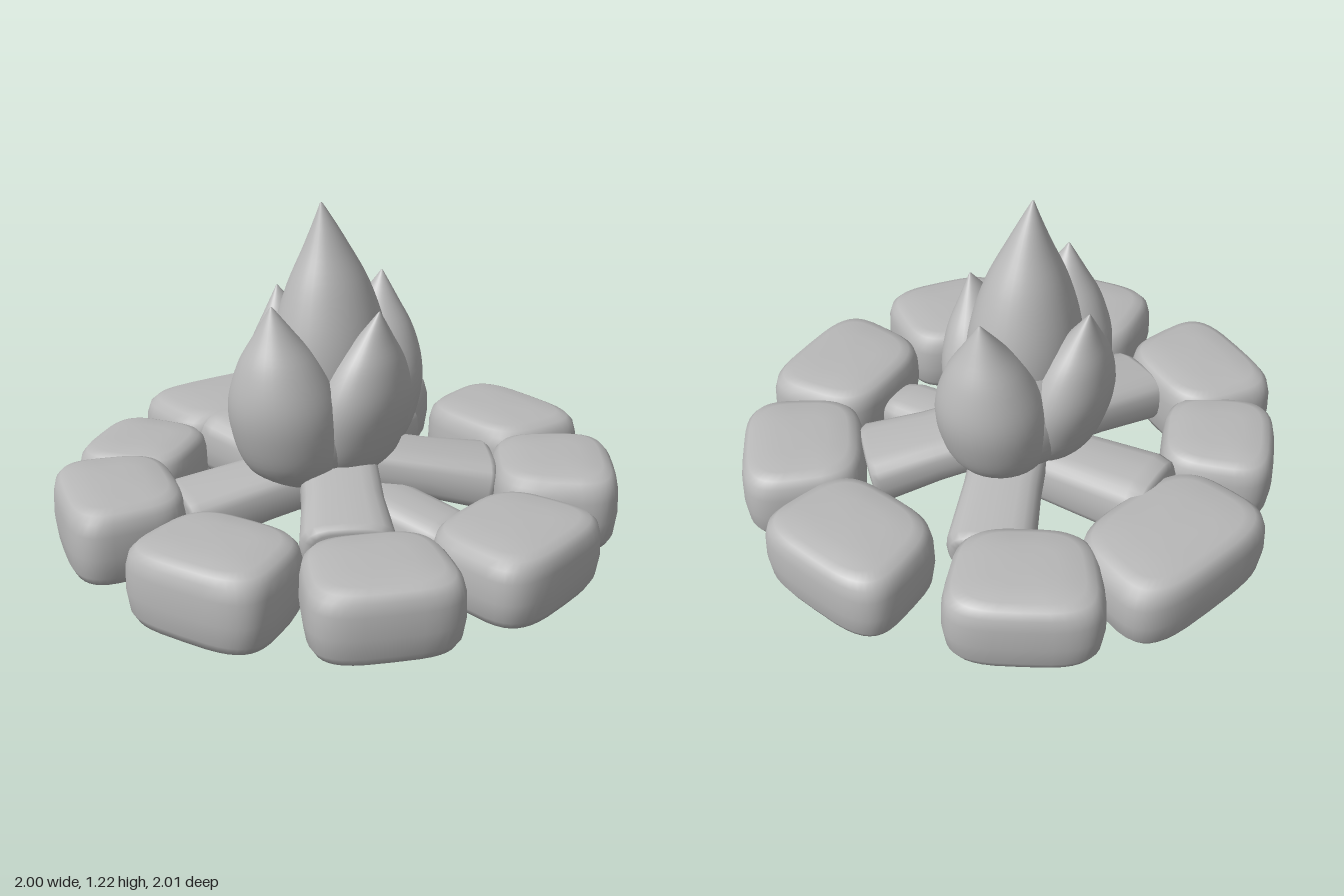
import * as THREE from 'three';

const grey = new THREE.MeshStandardMaterial({ color: 0xb8b8b8 });
grey.name = 'plain grey';

// Closed smooth skin through rings of points, ordered from bottom to top
function loft(rings) {
  const n = rings[0].length, last = rings.length - 1, points = rings.flat(), idx = [];
  for (let j = 0; j < last; j++) {
    for (let i = 0; i < n; i++) {
      const a = j * n + i, b = j * n + (i + 1) % n;
      idx.push(a, a + n, b, b, a + n, b + n);
    }
  }
  for (const j of [0, last]) {
    const centre = new THREE.Vector3();
    rings[j].forEach(p => centre.add(p));
    const k = points.push(centre.divideScalar(n)) - 1;
    for (let i = 0; i < n; i++) {
      const a = j * n + i, b = j * n + (i + 1) % n;
      idx.push(k, ...(j ? [b, a] : [a, b]));
    }
  }
  const g = new THREE.BufferGeometry().setFromPoints(points);
  g.setIndex(idx);
  g.computeVertexNormals();
  return g;
}

// Ring of n points, where rule(cos, sin) places each one
function makeRing(n, rule) {
  return Array.from({ length: n }, (_, i) => {
    const a = i / n * Math.PI * 2;
    return rule(Math.cos(a), Math.sin(a));
  });
}

// Pushes a circle out towards a rounded square
const soft = (v, power) => Math.sign(v) * Math.pow(Math.abs(v), power);

function add(group, name, geometry) {
  const m = new THREE.Mesh(geometry, grey);
  m.name = name;
  group.add(m);
  return m;
}

// Stone: rounded wedge, wider outside than inside, with soft top and bottom edges
const stoneProfile = [[0, 0.45], [0.01, 0.78], [0.05, 0.89], [0.16, 0.96], [0.42, 1],
  [0.7, 0.99], [0.85, 0.95], [0.93, 0.87], [0.975, 0.74], [1, 0.42]];

function stoneMesh(group, name, x, z, turn, outer, inner, depth, height) {
  const m = add(group, name, loft(stoneProfile.map(([t, s]) => makeRing(40, (c, d) => {
    const v = soft(d, 0.57);
    const half = THREE.MathUtils.lerp(inner, outer, (v + 1) / 2) / 2;
    return new THREE.Vector3(soft(c, 0.57) * half * s, t * (height - 0.01), v * depth / 2 * s);
  }))));
  m.position.set(x, 0.01, z);
  m.rotation.y = THREE.MathUtils.degToRad(turn);
}

// Flame tongue: one teardrop profile, leaning from base [x, y, z] to tip
const flameProfile = new THREE.SplineCurve([[0, 0.5], [0.13, 0.87], [0.32, 1], [0.5, 0.96],
  [0.69, 0.71], [0.85, 0.36], [1, 0.02]].map(p => new THREE.Vector2(...p))).getPoints(28);

function flameMesh(group, name, base, tip, halfX, halfZ, bend) {
  const a = new THREE.Vector3(...base), b = new THREE.Vector3(...tip);
  add(group, name, loft(flameProfile.map(p => {
    const mid = a.clone().lerp(b, Math.pow(p.x, bend));
    return makeRing(32, (c, d) => new THREE.Vector3(
      mid.x + c * halfX * p.y, THREE.MathUtils.lerp(a.y, b.y, p.x), mid.z + d * halfZ * p.y));
  })));
}

// Log: rounded square bar with soft ends, from one point to another
function logMesh(group, name, from, to, width, height, taper) {
  const a = new THREE.Vector3(...from), b = new THREE.Vector3(...to), length = a.distanceTo(b);
  const stations = [[0, 0.75], [0.015, 0.9], [0.06, 1], [0.5, 0.95], [0.94, 1], [0.985, 0.9], [1, 0.75]];
  const m = add(group, name, loft(stations.map(([t, s]) => {
    const k = s * (1 + (taper - 1) * t) / 2;
    return makeRing(20, (c, d) => new THREE.Vector3(
      soft(c, 0.65) * width * k, t * length, soft(d, 0.65) * height * k));
  })));
  // Lay the bar along its direction with its width kept level
  const dir = b.clone().sub(a).normalize();
  const side = new THREE.Vector3(0, 1, 0).cross(dir).normalize();
  m.quaternion.setFromRotationMatrix(new THREE.Matrix4().makeBasis(side, dir, side.clone().cross(dir)));
  m.position.copy(a);
}

function addGroup(parent, name) {
  const g = new THREE.Group();
  g.name = name;
  parent.add(g);
  return g;
}

export function createModel() {
  const model = new THREE.Group();
  model.name = 'campfire';

  // Ring of stones: x, z, turn, outer width, inner width, depth, height
  const stones = addGroup(model, 'stoneRing');
  stoneMesh(stones, 'frontStone', 0.005, 0.77, 0, 0.6, 0.5, 0.45, 0.275);
  stoneMesh(stones, 'frontLeftStone', 0.5, 0.605, 38, 0.54, 0.47, 0.45, 0.3);
  stoneMesh(stones, 'leftStone', 0.765, 0.18, 82, 0.61, 0.5, 0.44, 0.3);
  stoneMesh(stones, 'rearLeftStone', 0.63, -0.425, 119, 0.58, 0.48, 0.43, 0.3);
  stoneMesh(stones, 'backStone', 0.2, -0.745, 163, 0.7, 0.6, 0.45, 0.295);
  stoneMesh(stones, 'backRightStone', -0.345, -0.67, -158, 0.47, 0.42, 0.42, 0.285);
  stoneMesh(stones, 'rearRightStone', -0.68, -0.425, -119, 0.58, 0.48, 0.43, 0.3);
  stoneMesh(stones, 'rightStone', -0.77, 0.155, -80, 0.57, 0.49, 0.44, 0.3);
  stoneMesh(stones, 'frontRightStone', -0.5, 0.6, -38, 0.54, 0.47, 0.45, 0.28);

  // Crossed logs: one long bar below, four leaning pieces above
  const logs = addGroup(model, 'logs');
  logMesh(logs, 'longLog', [0, 0.095, 0.55], [0.02, 0.19, -0.62], 0.23, 0.19, 1.35);

  // Flames: a broad body and tall centre ringed by four shorter tongues
  const fire = addGroup(model, 'flames');
  flameMesh(fire, 'flameBody', [0, 0.23, -0.055], [0, 0.85, -0.055], 0.34, 0.25, 1);
  flameMesh(fire, 'centreFlame', [0.005, 0.24, -0.045], [-0.033, 1.22, -0.05], 0.23, 0.2, 5);

  for (const s of [-1, 1]) {
    const side = s > 0 ? 'Left' : 'Right';
    logMesh(logs, 'front' + side + 'Log', [s * 0.4, 0.18, 0.39], [s * 0.06, 0.265, 0.05], 0.33, 0.2, 0.85);
    logMesh(logs, 'back' + side + 'Log', [s * 0.56, 0.17, -0.24], [s * 0.04, 0.25, -0.02], 0.31, 0.2, 0.9);
    flameMesh(fire, 'side' + side + 'Flame',
      [s * 0.16, 0.23, -0.05], [s * 0.295, 0.91, -0.045], 0.2, 0.2, 0.8);
    flameMesh(fire, s > 0 ? 'frontFlame' : 'backFlame',
      [0, 0.24, s * 0.11 - 0.055], [0, 0.87, s * 0.24 - 0.055], 0.21, 0.15, 1);
  }
  return model;
}
